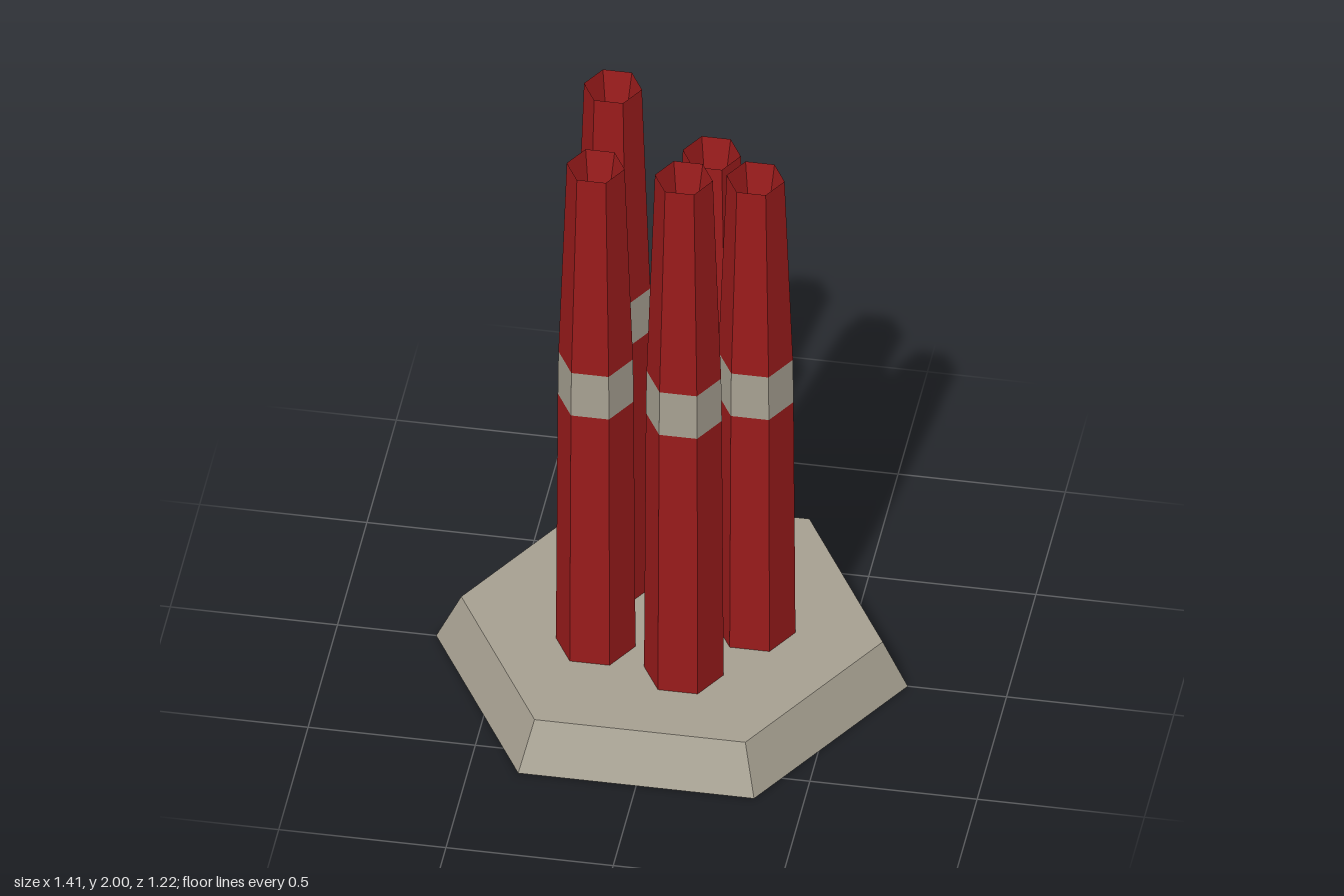
import * as THREE from 'three';

const BASE_HEIGHT = 0.155;
const R_BOTTOM = 0.119, R_BAND_LOW = 0.1135, R_BAND_HIGH = 0.1115, R_TOP = 0.0865;

const brickRed = new THREE.MeshStandardMaterial({ color: 0x991b1b });
brickRed.name = 'brickRed';
const stoneGrey = new THREE.MeshStandardMaterial({ color: 0xa6a091, side: THREE.DoubleSide });
stoneGrey.name = 'stoneGrey';

// Six-sided faceted surface from [radius, height] profile points, with corners on +x and -x
function hexLathe(name, profile, material) {
  const points = profile.map(([r, y]) => new THREE.Vector2(r, y));
  const geometry = new THREE.LatheGeometry(points, 6, Math.PI / 6).toNonIndexed();
  geometry.computeVertexNormals();
  const mesh = new THREE.Mesh(geometry, material);
  mesh.name = name;
  return mesh;
}

// Tapered stack: lower shaft, flush band, then upper shaft with a funnel-shaped mouth
function chimney(height) {
  const bandTop = 0.163 + height * 0.55;
  const bandBottom = bandTop - 0.157;
  const group = new THREE.Group();
  group.add(
    hexLathe('lowerShaft', [[R_BOTTOM, BASE_HEIGHT], [R_BAND_LOW, bandBottom]], brickRed),
    hexLathe('band', [[R_BAND_LOW, bandBottom], [R_BAND_HIGH, bandTop]], stoneGrey),
    hexLathe('upperShaft', [[R_BAND_HIGH, bandTop], [R_TOP, height], [0, height - 0.5]], brickRed),
  );
  return group;
}

export function createModel() {
  const model = new THREE.Group();
  model.name = 'chimneyCluster';

  // Hollow hexagonal plinth: sloping walls and a top, open underneath
  model.add(hexLathe('plinth', [[0.705, 0], [0.63, BASE_HEIGHT], [0, BASE_HEIGHT]], stoneGrey));

  // Five chimneys of different heights in a ring, starting at +x and turning toward +z
  const heights = [1.83, 1.99, 1.927, 2.0, 1.72];
  heights.forEach((height, i) => {
    const angle = (i / heights.length) * Math.PI * 2;
    const stack = chimney(height);
    stack.name = `chimney${i + 1}`;
    stack.position.set(0.25 * Math.cos(angle), 0, 0.25 * Math.sin(angle));
    model.add(stack);
  });

  return model;
}
